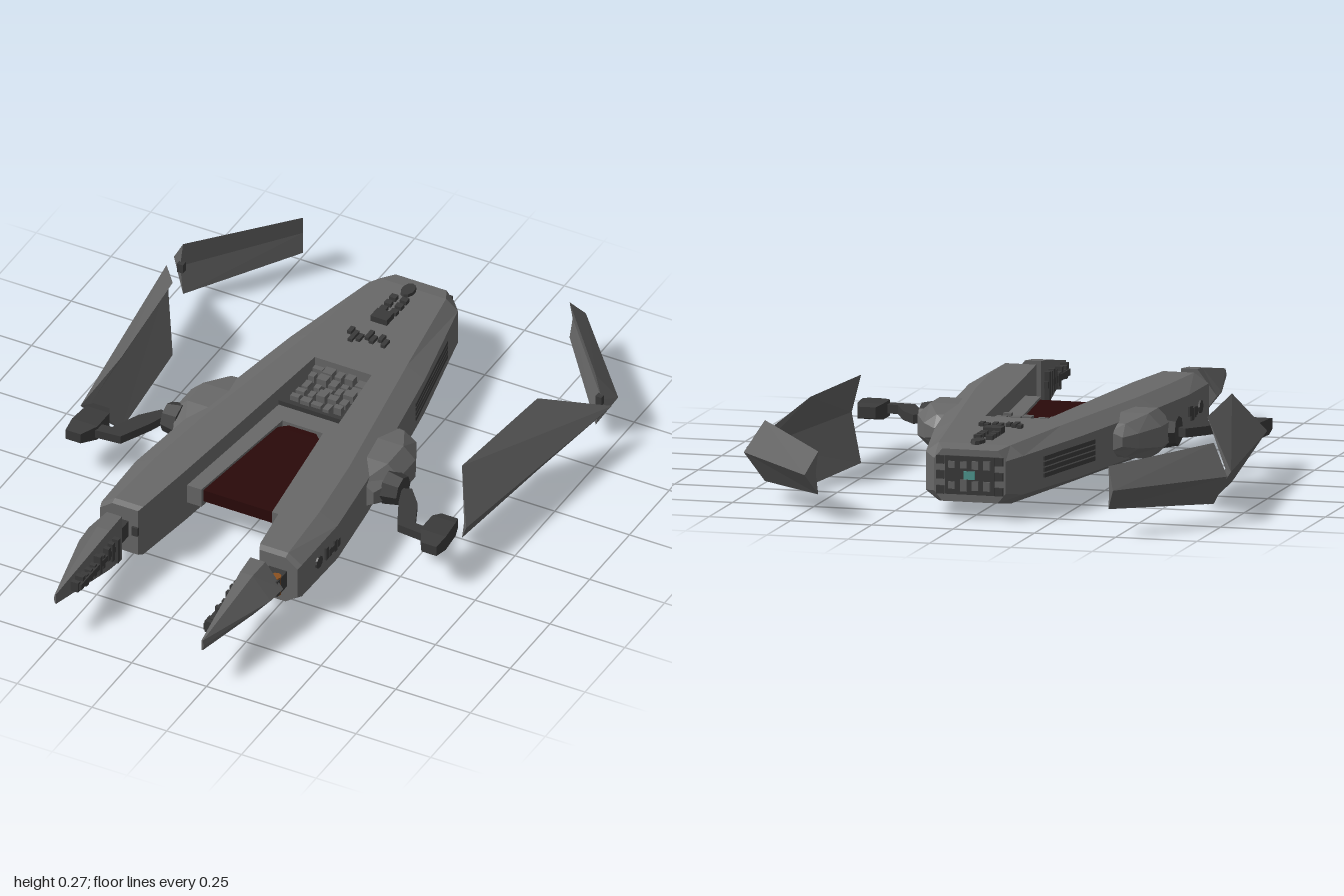
import * as THREE from 'three';

const paint = (color) => new THREE.MeshStandardMaterial({ color, flatShading: true });
const hull = paint(0x686868), panel = paint(0x636363), dark = paint(0x3a3a3a), red = paint(0x2a0909);
const orange = paint(0x8a5020), teal = paint(0x4f9a92), blue = paint(0x30306a);

let seed = 7;
const rand = () => (seed = (seed * 16807) % 2147483647) / 2147483647;

// Skin a row of matching [x, y, z] loops and cap both ends; faces always point outward
function loft(sections, side = 1) {
  const tris = [], n = sections[0].length;
  sections.forEach((a, i) => {
    const b = sections[i + 1];
    if (!b) return;
    for (let j = 0; j < n; j++) {
      const k = (j + 1) % n;
      tris.push([a[j], a[k], b[k]], [a[j], b[k], b[j]]);
    }
  });
  const first = sections[0], last = sections[sections.length - 1];
  for (let j = 1; j < n - 1; j++) {
    tris.push([first[0], first[j + 1], first[j]], [last[0], last[j], last[j + 1]]);
  }
  const v = (p) => new THREE.Vector3(p[0] * side, p[1], p[2]);
  let volume = 0;
  for (const [a, b, c] of tris) volume += v(a).dot(v(b).cross(v(c)));
  const points = tris.flatMap(([a, b, c]) => (volume < 0 ? [v(a), v(c), v(b)] : [v(a), v(b), v(c)]));
  const g = new THREE.BufferGeometry().setFromPoints(points);
  g.computeVertexNormals();
  return g;
}

function add(parent, name, geometry, material = hull) {
  const mesh = new THREE.Mesh(geometry, material);
  mesh.name = name;
  parent.add(mesh);
  return mesh;
}

const box = (parent, name, size, pos, material = dark) => {
  const m = add(parent, name, new THREE.BoxGeometry(...size), material);
  m.position.set(...pos);
  return m;
};

// Rectangular loop between two x values
const rect = (x0, x1, y0, y1, z) => [[x0, y0, z], [x1, y0, z], [x1, y1, z], [x0, y1, z]];

// Chamfered half of the hull: inner wall flat, outer edge bevelled
const hullLoop = ([z, inner, outer, bevel, y0, y1]) => {
  const c = 0.03;
  return [[inner, y0, z], [outer - bevel, y0, z], [outer, y0 + c, z], [outer, y1 - c, z],
    [outer - bevel, y1, z], [inner, y1, z]];
};

function buildSide(side) {
  const half = new THREE.Group();
  half.name = side > 0 ? 'leftSide' : 'rightSide';

  // Hull half: solid at the back, forking into an arm at the front
  const stations = [
    [-0.82, 0, 0.11, 0.025, 0.055, 0.212], [-0.77, 0, 0.15, 0.04, 0.047, 0.222],
    [-0.42, 0, 0.225, 0.06, 0.045, 0.225], [-0.33, 0, 0.24, 0.06, 0.045, 0.225],
    [-0.33, 0.095, 0.24, 0.06, 0.045, 0.225], [0.1, 0.14, 0.31, 0.06, 0.045, 0.225],
    [0.34, 0.166, 0.338, 0.06, 0.045, 0.225], [0.56, 0.195, 0.335, 0.045, 0.048, 0.222],
    [0.578, 0.203, 0.33, 0.04, 0.055, 0.215],
  ];
  add(half, 'hullHalf', loft(stations.map(hullLoop), side));

  // Rail beside the ramp
  add(half, 'rampRail', loft([rect(0.06, 0.12, 0.105, 0.168, -0.14), rect(0.118, 0.18, 0.105, 0.168, 0.34)], side));

  // Long vent in the rear flank
  for (let i = 0; i < 4; i++) {
    const y = 0.108 + i * 0.017;
    add(half, 'flankVent', loft([rect(0.16, 0.18, y, y + 0.013, -0.65), rect(0.22, 0.244, y, y + 0.013, -0.33)], side), dark);
  }

  // Faceted side pod
  const podLoop = ([z, x, h]) => [
    [0.22, 0.143 - h, z], [x - 0.04, 0.143 - h, z], [x, 0.143 - h * 0.45, z],
    [x, 0.143 + h * 0.45, z], [x - 0.04, 0.143 + h, z], [0.22, 0.143 + h, z]];
  add(half, 'sidePod', loft([[-0.2, 0.29, 0.03], [-0.17, 0.33, 0.05], [-0.08, 0.375, 0.068],
    [0.02, 0.375, 0.068], [0.11, 0.335, 0.045]].map(podLoop), side));
  const hub = add(half, 'podHub', new THREE.CylinderGeometry(0.045, 0.055, 0.05, 8), dark);
  hub.rotation.z = -side * Math.PI / 2;
  hub.position.set(side * 0.37, 0.143, 0.035);

  // Cranked bracket with a clamp block
  const crank = [[0.405, 0.03, 0.014], [0.44, 0.09, 0.026], [0.485, 0.185, 0.022], [0.57, 0.192, 0.018]];
  add(half, 'bracketArm', loft(crank.map(([x, z, w], i) => {
    const dx = i === 3 ? 0 : w, dz = i === 3 ? w : i === 2 ? w * 0.7 : w * 0.4;
    return [[x - dx, 0.125, z + dz], [x + dx, 0.125, z - dz], [x + dx, 0.152, z - dz], [x - dx, 0.152, z + dz]];
  }), side), dark);
  add(half, 'bracketClamp', loft([rect(0.555, 0.61, 0.122, 0.155, 0.095), rect(0.54, 0.618, 0.114, 0.162, 0.125),
    rect(0.54, 0.625, 0.114, 0.162, 0.2), rect(0.57, 0.62, 0.122, 0.155, 0.25)], side), dark);

  // Folded wing panels; each loop is inner ridge, top edge, outer ridge, bottom edge
  add(half, 'frontWingPanel', loft([
    [[0.625, 0.14, 0.085], [0.57, 0.27, -0.005], [0.645, 0.142, 0.11], [0.57, 0.005, -0.005]],
    [[0.71, 0.145, -0.56], [0.61, 0.27, -0.405], [0.745, 0.148, -0.62], [0.61, 0.005, -0.405]]], side), panel);
  const s = side > 0 ? 0 : 0.032, f = side > 0 ? 0 : 0.01;
  add(half, 'rearWingPanel', loft([
    [[0.7 + f, 0.143, -0.64], [0.685 + f, 0.235, -0.63], [0.738 + f, 0.143, -0.672], [0.685 + f, 0.052, -0.63]],
    [[0.435 + s, 0.143, -0.955], [0.43 + s, 0.207, -0.945], [0.458 + s, 0.143, -0.995], [0.43 + s, 0.078, -0.945]]], side), panel);
  box(half, 'rearWingClip', [0.02, 0.03, 0.02], [side * (0.695 + f), 0.143, -0.638]);

  // Front prong with neck joint and inner machinery
  const p = side > 0 ? 0 : 0.03;
  box(half, 'prongNeck', [0.06, 0.055, 0.07], [side * 0.265, 0.14, 0.605]);
  const joint = add(half, 'prongJoint', new THREE.CylinderGeometry(0.016, 0.016, 0.064, 8), orange);
  joint.position.set(side * 0.28, 0.14, 0.618);
  add(half, 'prong', loft([
    [0.63, 0.2, 0.25, 0.31, 0.062, 0.22], [0.7, 0.203, 0.245, 0.305, 0.07, 0.213],
    [0.99, 0.228, 0.232, 0.236, 0.125, 0.16],
  ].map(([z, a, b, c, y0, y1]) => [[a + p, y0, z], [b + p, y0, z], [c + p, 0.142, z], [b + p, y1, z], [a + p, y1, z]]), side), panel);
  for (let i = 0; i < 10; i++) {
    const z = 0.68 + i * 0.025, h = 0.1 - i * 0.006;
    box(half, 'prongMachinery', [0.016 + rand() * 0.014, h * (0.4 + rand() * 0.5), 0.014],
      [side * (0.195 + p + i * 0.0015), 0.142 + (rand() - 0.5) * 0.02, z]);
  }
  box(half, 'prongRail', [0.014, 0.02, 0.24], [side * (0.196 + p), 0.142, 0.785]);

  // Fittings on the outer face of the arm
  const port = add(half, 'armPort', new THREE.CylinderGeometry(0.02, 0.02, 0.012, 10), dark);
  port.rotation.z = Math.PI / 2;
  port.position.set(side * 0.336, 0.14, 0.46);
  for (let i = 0; i < 5; i++) {
    box(half, 'armFitting', [0.01, 0.015 + rand() * 0.03, 0.016], [side * 0.338, 0.14 + (rand() - 0.5) * 0.03, 0.34 + i * 0.018]);
  }
  box(half, 'armLamp', [0.02, 0.03, 0.01], [side * 0.212, 0.14, 0.58], side > 0 ? blue : dark);

  // Fittings on the rear corners
  for (const y of [0.09, 0.135, 0.18]) box(half, 'rearFitting', [0.025, 0.025, 0.016], [side * 0.09, y, -0.82]);
  return half;
}

export function createModel() {
  const model = new THREE.Group();
  model.name = 'spacecraft';
  for (const side of [1, -1]) model.add(buildSide(side));

  // Recessed bay between the arms, with machinery above and below
  add(model, 'bayBlock', loft([rect(-0.1, 0.1, 0.09, 0.184, -0.34), rect(-0.115, 0.115, 0.09, 0.184, -0.14)]), dark);
  add(model, 'rampHeader', loft([rect(-0.11, 0.11, 0.105, 0.168, -0.15), rect(-0.12, 0.12, 0.105, 0.168, -0.075)]));
  for (const [y, dir] of [[0.184, 1], [0.09, -1]]) {
    for (let i = 0; i < 5; i++) {
      for (let j = 0; j < 5; j++) {
        const h = 0.01 + rand() * 0.016;
        box(model, 'bayMachinery', [0.018 + rand() * 0.016, h, 0.015 + rand() * 0.018],
          [-0.072 + i * 0.036, y + dir * h / 2, -0.31 + j * 0.036], panel);
      }
    }
  }

  // Ramp slab narrowing toward the back
  add(model, 'ramp', loft([rect(-0.045, 0.045, 0.122, 0.158, -0.075), rect(-0.07, 0.07, 0.12, 0.16, -0.05),
    rect(-0.12, 0.12, 0.12, 0.16, 0.33)]), red);

  // Fittings along the rear deck
  const hatch = add(model, 'deckHatch', new THREE.CylinderGeometry(0.02, 0.022, 0.014, 10), dark);
  hatch.scale.z = 1.5;
  hatch.position.set(-0.005, 0.225, -0.75);
  box(model, 'deckBox', [0.055, 0.022, 0.045], [-0.008, 0.232, -0.59]);
  for (let i = 0; i < 6; i++) {
    box(model, 'deckFitting', [0.022, 0.016, 0.02], [-0.025 + (i % 2) * 0.036, 0.228, -0.695 + Math.floor(i / 2) * 0.032]);
  }
  for (let i = 0; i < 7; i++) {
    box(model, 'deckClamp', [0.014, 0.014, 0.025 + rand() * 0.03], [-0.06 + i * 0.02, 0.228, -0.485 + (rand() - 0.5) * 0.03]);
  }

  // Rear plate with fittings and a lamp
  box(model, 'rearPlate', [0.15, 0.115, 0.01], [0, 0.135, -0.82]);
  for (let i = 0; i < 8; i++) {
    box(model, 'rearPlateFitting', [0.02, 0.02 + rand() * 0.015, 0.012],
      [-0.054 + (i % 4) * 0.036, 0.105 + Math.floor(i / 4) * 0.062, -0.825], panel);
  }
  box(model, 'rearLamp', [0.034, 0.024, 0.014], [0, 0.136, -0.825], teal);
  return model;
}
